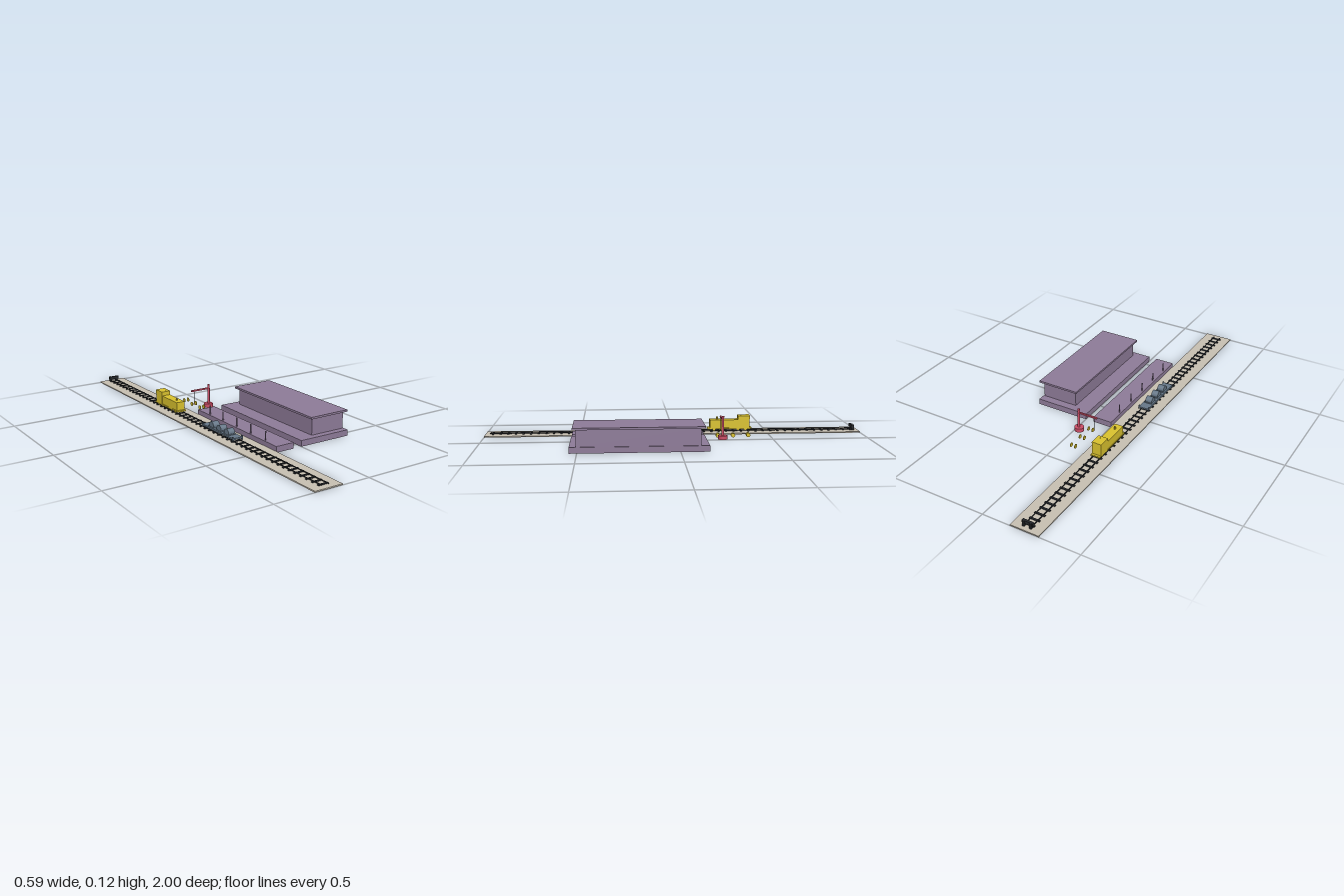
import * as THREE from 'three';

const paint = (color) => new THREE.MeshStandardMaterial({ color });

export function createModel() {
  const model = new THREE.Group();
  const stone = paint(0xc8c0b2), dark = paint(0x24272b), steel = paint(0x667788);
  const mauve = paint(0x8e7b98), yellow = paint(0xdac22e), red = paint(0xcc4d66);
  const trackX = -0.219;

  const add = (parent, name, geometry, material, x, y, z) => {
    const mesh = new THREE.Mesh(geometry, material);
    mesh.name = name;
    mesh.position.set(x, y, z);
    parent.add(mesh);
    return mesh;
  };
  // Box given by its limits on each axis
  const box = (parent, name, material, [x0, x1], [y0, y1], [z0, z1]) =>
    add(parent, name, new THREE.BoxGeometry(x1 - x0, y1 - y0, z1 - z0), material,
      (x0 + x1) / 2, (y0 + y1) / 2, (z0 + z1) / 2);
  const post = (parent, name, material, r, x, z, y0, y1, sides = 16) =>
    add(parent, name, new THREE.CylinderGeometry(r, r, y1 - y0, sides), material, x, (y0 + y1) / 2, z);
  // Cylinder lying across the track
  const roller = (parent, name, material, r, width, x, y, z) => {
    const mesh = add(parent, name, new THREE.CylinderGeometry(r, r, width, 24), material, x, y, z);
    mesh.rotation.z = Math.PI / 2;
    return mesh;
  };
  const group = (name) => {
    const g = new THREE.Group();
    g.name = name;
    model.add(g);
    return g;
  };
  const across = (half) => [trackX - half, trackX + half];

  // Track: ballast, sleepers, rails and the buffer stop at the back end
  const track = group('track');
  box(track, 'ballast', stone, [-0.293, -0.145], [0, 0.006], [-1, 1]);
  for (let i = 0; i <= 48; i++) {
    const z = -0.96 + i * 0.04;
    box(track, 'sleeper', dark, across(0.027), [0.006, 0.01], [z - 0.005, z + 0.005]);
  }
  for (const side of [-1, 1]) {
    const x = trackX + side * 0.018;
    box(track, 'rail', dark, [x - 0.002, x + 0.002], [0.009, 0.013], [-0.98, 0.975]);
    box(track, 'bufferPost', dark, [x - 0.005, x + 0.005], [0.006, 0.034], [-0.98, -0.968]);
  }
  box(track, 'bufferBeam', dark, across(0.028), [0.018, 0.034], [-0.975, -0.963]);

  // Locomotive: underframe, hood, rear cab and running gear
  const loco = group('locomotive');
  box(loco, 'underframe', yellow, across(0.025), [0.02, 0.027], [-0.418, -0.18]);
  box(loco, 'hood', yellow, across(0.023), [0.027, 0.07], [-0.344, -0.193]);
  box(loco, 'cab', yellow, across(0.025), [0.027, 0.091], [-0.407, -0.344]);
  post(loco, 'exhaust', yellow, 0.0045, trackX, -0.233, 0.07, 0.084);
  post(loco, 'horn', yellow, 0.002, -0.212, -0.36, 0.091, 0.095);
  for (const z of [-0.385, -0.345, -0.255, -0.215])
    for (const side of [-1, 1])
      roller(loco, 'locomotiveWheel', yellow, 0.009, 0.005, trackX + side * 0.018, 0.021, z);

  // Flat wagon carrying three coils
  const wagon = group('wagon');
  box(wagon, 'deck', steel, across(0.0265), [0.02, 0.028], [0.06, 0.335]);
  for (const side of [-1, 1]) {
    const x = trackX + side * 0.0265;
    for (const z of [0.09, 0.125, 0.27, 0.305])
      roller(wagon, 'wagonWheel', dark, 0.008, 0.005, trackX + side * 0.018, 0.02, z);
    for (const z of [0.065, 0.33])
      box(wagon, 'stake', steel, [x - 0.002, x + 0.002], [0.014, 0.035], [z - 0.004, z + 0.004]);
  }
  for (const z of [0.132, 0.198, 0.264]) {
    roller(wagon, 'coil', steel, 0.02, 0.036, trackX, 0.0355, z);
    for (const side of [-1, 1])
      box(wagon, 'chock', steel, across(0.02), [0.028, 0.032], [z + side * 0.02 - 0.003, z + side * 0.02 + 0.003]);
  }

  // Loading platform with five posts along the track edge
  const platform = group('platform');
  box(platform, 'platformSlab', mauve, [-0.145, -0.045], [0, 0.03], [-0.142, 0.538]);
  for (let i = 0; i < 5; i++)
    post(platform, 'platformPost', mauve, 0.003, -0.135, -0.04 + i * 0.12, 0.03, 0.075, 12);

  // Warehouse on its own slab with an overhanging flat roof
  const warehouse = group('warehouse');
  box(warehouse, 'warehouseSlab', mauve, [0, 0.282], [0, 0.03], [-0.142, 0.538]);
  box(warehouse, 'walls', mauve, [0.087, 0.277], [0.03, 0.115], [-0.1, 0.505]);
  box(warehouse, 'roof', mauve, [0.071, 0.292], [0.115, 0.125], [-0.12, 0.52]);

  // Jib crane
  const crane = group('crane');
  post(crane, 'craneBase', red, 0.024, -0.021, -0.24, 0, 0.02, 32);
  post(crane, 'mast', red, 0.0065, -0.0185, -0.24, 0.02, 0.122, 24);
  box(crane, 'jib', red, [-0.124, -0.0185], [0.098, 0.106], [-0.244, -0.236]);
  post(crane, 'cable', dark, 0.001, -0.108, -0.24, 0.032, 0.098, 8);
  add(crane, 'hook', new THREE.TorusGeometry(0.003, 0.001, 8, 16), red, -0.108, 0.03, -0.24);

  // Spare wheels standing in pairs beside the crane
  const spares = group('spareWheels');
  for (const z of [-0.38, -0.3, -0.22])
    for (const x of [-0.087, -0.063])
      roller(spares, 'spareWheel', yellow, 0.011, 0.004, x, 0.011, z);

  return model;
}
